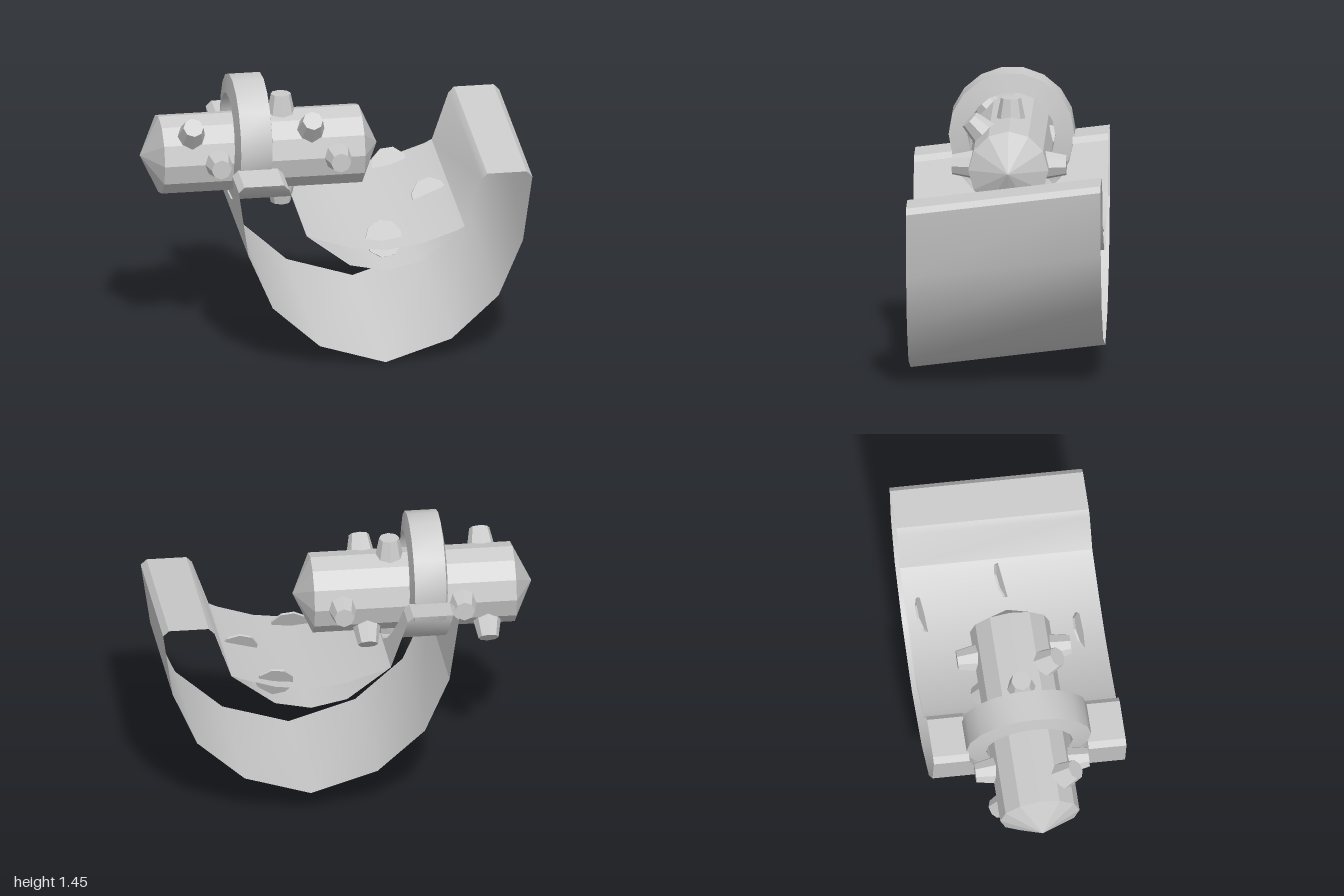
import * as THREE from 'three';
import { toCreasedNormals } from 'three/addons/utils/BufferGeometryUtils.js';

const smoothMat = new THREE.MeshStandardMaterial({ color: 0xcccccc, side: THREE.DoubleSide });
const flatMat = new THREE.MeshStandardMaterial({ color: 0xcccccc, side: THREE.DoubleSide, flatShading: true });

const HALF = 0.51;                                  // half length of the trough
const lift = z => (HALF - z) * 0.125;               // the trough climbs towards the back
const MID = 0.22;                                   // trough's plane of symmetry
const mirror = pts => pts.map(([x, y]) => [2 * MID - x, y]).reverse();

function mesh(name, geometry, material = smoothMat) {
  const m = new THREE.Mesh(geometry, material);
  m.name = name;
  return m;
}

// Sheet between two polylines of 3D points
function loft(a, b, crease = 0.7) {
  const pos = [];
  for (let i = 0; i < a.length - 1; i++) {
    for (const p of [a[i], b[i], b[i + 1], a[i], b[i + 1], a[i + 1]]) pos.push(...p);
  }
  const g = new THREE.BufferGeometry();
  g.setAttribute('position', new THREE.Float32BufferAttribute(pos, 3));
  g.computeVertexNormals();
  return toCreasedNormals(g, crease);
}

// Profile (x, y) swept along z on the slope
function sweep(profile, z0 = HALF, z1 = -HALF) {
  const at = z => profile.map(([x, y]) => [x, y + lift(z), z]);
  return loft(at(z0), at(z1));
}

export function createModel() {
  const model = new THREE.Group();
  model.name = 'model';

  // Trough: outer hull, right rim and inner bed
  const hullHalf = [[0.22, 0.005], [0.57, 0.115], [0.82, 0.34], [0.95, 0.64]];
  const rim = [[1, 0.99], [0.97, 1.02], [0.76, 1.02], [0.73, 0.99]];
  const bedHalf = [[0.64, 0.73], [0.41, 0.555], [0.22, 0.515]];
  const hull = [...mirror(hullHalf), ...hullHalf.slice(1), ...rim, ...bedHalf, ...mirror(bedHalf).slice(1)];
  model.add(mesh('trough', sweep(hull)));

  // Shallow layer lying in the bed
  const layerHalf = [[0.64, 0.735], [0.6, 0.715], [0.41, 0.653], [0.22, 0.628]];
  model.add(mesh('bedLayer', sweep([...layerHalf, ...mirror(layerHalf).slice(1)])));

  // Left rim, interrupted by a round notch
  const leftRim = mirror(rim);
  model.add(mesh('leftRimFront', sweep(leftRim, HALF, 0.31)));
  model.add(mesh('leftRimBack', sweep(leftRim, -0.32, -HALF)));

  // Notch outline as (z, local height)
  const notch = [];
  for (let i = 0; i <= 10; i++) {
    const t = THREE.MathUtils.degToRad(-19 - 156.4 * i / 10);
    const z = 0.325 * Math.cos(t);
    const y = 1.12 + 0.325 * Math.sin(t) - lift(z);
    notch.push([z, THREE.MathUtils.clamp(y, 0.735, 0.99)]);
  }
  // Left walls: x varies with the local height
  const outerX = y => THREE.MathUtils.mapLinear(y, 0.64, 0.99, -0.51, -0.56);
  const innerX = y => THREE.MathUtils.mapLinear(y, 0.73, 0.99, -0.2, -0.29);
  function wall(bottom, xAt) {
    const shape = new THREE.Shape([[-HALF, bottom], [HALF, bottom], [HALF, 0.99], ...notch, [-HALF, 0.99]]
      .map(([z, y]) => new THREE.Vector2(z, y)));
    const g = new THREE.ShapeGeometry(shape);
    const p = g.attributes.position;
    for (let i = 0; i < p.count; i++) {
      const z = p.getX(i), y = p.getY(i);
      p.setXYZ(i, xAt(y), y + lift(z), z);
    }
    g.computeVertexNormals();
    return g;
  }
  model.add(mesh('leftOuterWall', wall(0.64, outerX)));
  model.add(mesh('leftInnerWall', wall(0.73, innerX)));

  // Lining of the notch between the two walls
  const edge = xAt => notch.map(([z, y]) => [xAt(y), y + lift(z), z]);
  model.add(mesh('notchLining', loft(edge(outerX), edge(innerX))));

  // Roller with pointed ends
  const rollerProfile = [[0, -1], [0.21, -0.9], [0.21, 0.165], [0, 0.26]].map(([r, x]) => new THREE.Vector2(r, x));
  const rollerGeo = new THREE.LatheGeometry(rollerProfile, 12);
  rollerGeo.rotateZ(-Math.PI / 2);
  const roller = new THREE.Group();
  roller.name = 'roller';
  roller.position.y = 1.05;
  roller.add(mesh('rollerBody', rollerGeo, flatMat));

  // Studs in opposite pairs: [x, angle from up towards the front]
  const studGeo = new THREE.CylinderGeometry(0.053, 0.083, 0.15, 8);
  studGeo.translate(0, 0.225, 0);
  const pairs = [[-0.75, 45], [-0.615, 90], [-0.25, 0], [-0.115, 45], [0.02, 90]];
  for (const [x, angle] of pairs) {
    for (const turn of [0, 180]) {
      const stud = mesh('stud', studGeo, flatMat);
      stud.position.x = x;
      stud.rotation.x = THREE.MathUtils.degToRad(angle + turn);
      roller.add(stud);
    }
  }
  model.add(roller);

  // Ring around the roller, wider on the inside
  const section = [[0.23, -0.1], [0.33, -0.083], [0.33, 0.083], [0.23, 0.1], [0.23, -0.1]]
    .map(([r, x]) => new THREE.Vector2(r, x));
  const ringGeo = toCreasedNormals(new THREE.LatheGeometry(section, 18).toNonIndexed(), 0.6);
  ringGeo.rotateZ(-Math.PI / 2);
  const ring = mesh('ring', ringGeo);
  ring.position.set(-0.433, 1.13, 0);
  model.add(ring);

  // Small discs half sunk in the layer, leaning back
  const discGeo = new THREE.CylinderGeometry(0.1, 0.1, 0.012, 9);
  discGeo.rotateX(Math.PI / 2);
  for (const [x, y, z, roll] of [[0.4, 0.762, -0.42, 0.1], [0.54, 0.738, 0.02, 0.35], [0.23, 0.65, 0.39, -0.15]]) {
    const disc = mesh('sunkenDisc', discGeo, flatMat);
    disc.position.set(x, y, z);
    disc.rotation.set(-0.4, 0, roll);
    model.add(disc);
  }
  return model;
}
